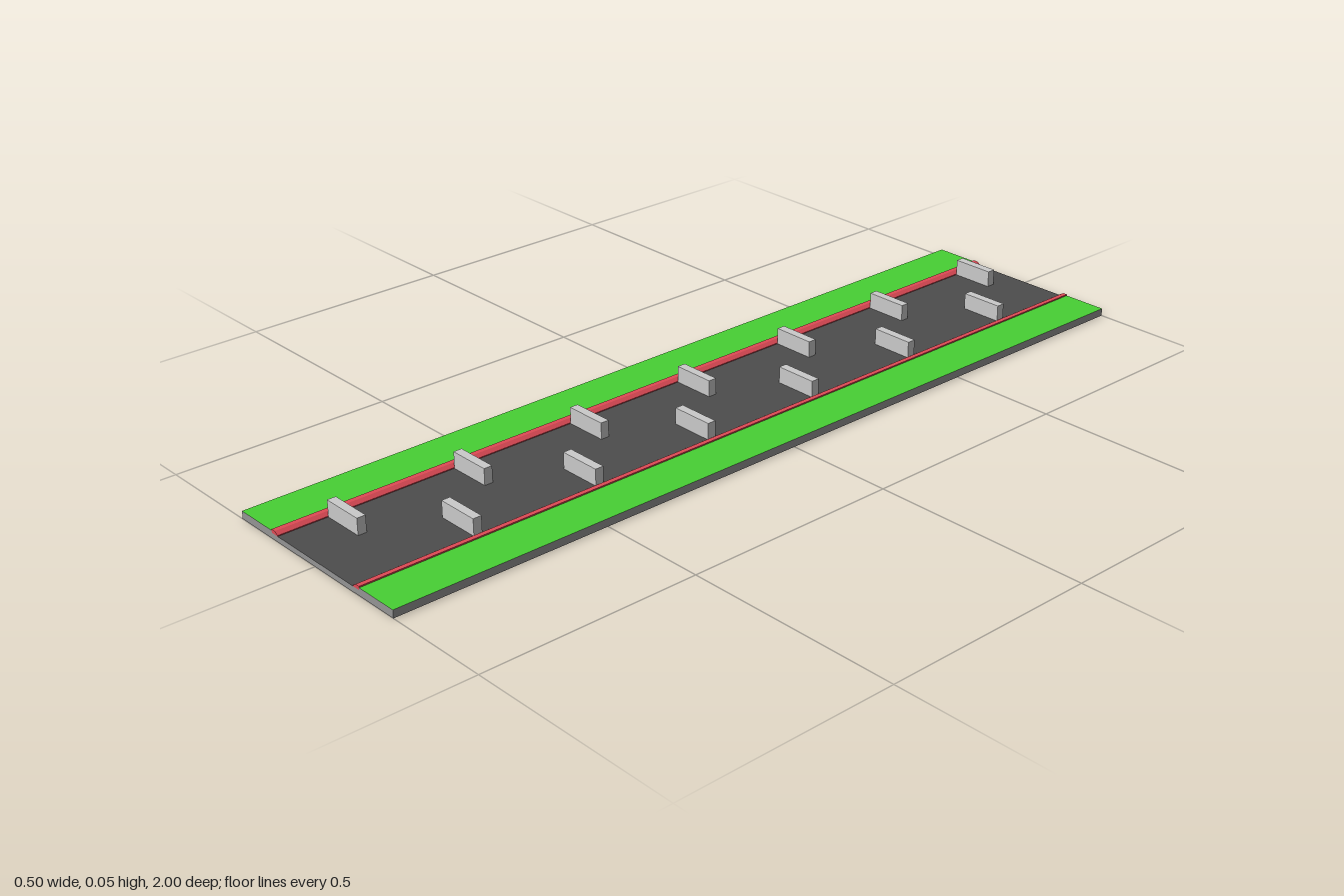
import * as THREE from 'three';

const paint = (color) => new THREE.MeshStandardMaterial({ color });

export function createModel() {
  const group = new THREE.Group();
  const asphalt = paint(0x4d4d4d), edge = paint(0x969696), green = paint(0x48d034);
  const red = paint(0xe04b56), grey = paint(0xcccccc);
  const LENGTH = 2, ROAD_Y = 0.0125, GRASS_Y = 0.0175;

  // Box given by its limits in x and y, and its length and centre in z
  function slab(name, x0, x1, y0, y1, depth, z, material) {
    const mesh = new THREE.Mesh(new THREE.BoxGeometry(x1 - x0, y1 - y0, depth), material);
    mesh.position.set((x0 + x1) / 2, (y0 + y1) / 2, z);
    mesh.name = name;
    group.add(mesh);
  }

  // Road bed: dark top and underside, grey sides
  slab('road', -0.25, 0.25, 0, ROAD_Y, LENGTH, 0, [edge, edge, asphalt, asphalt, edge, edge]);

  for (const s of [-1, 1]) {
    const side = s > 0 ? 'left' : 'right';

    // Grass verge
    const [x0, x1] = s > 0 ? [0.145, 0.25] : [-0.25, -0.145];
    slab(side + 'Grass', x0, x1, ROAD_Y, GRASS_Y, LENGTH, 0, [edge, edge, green, green, edge, edge]);

    // Kerb with a bevelled inner edge
    const profile = new THREE.Shape([
      [0.125, ROAD_Y], [0.145, ROAD_Y], [0.145, 0.0205], [0.134, 0.0205], [0.125, 0.0145],
    ].map(([x, y]) => new THREE.Vector2(s * x, y)));
    const kerb = new THREE.Mesh(
      new THREE.ExtrudeGeometry(profile, { depth: LENGTH, bevelEnabled: false }), red);
    kerb.position.z = -LENGTH / 2;
    kerb.name = side + 'Kerb';
    group.add(kerb);

    // Staggered barriers across the lane
    const count = s > 0 ? 6 : 7, first = s > 0 ? -0.784 : -0.924;
    const [b0, b1] = s > 0 ? [0.025, 0.125] : [-0.125, -0.025];
    for (let i = 0; i < count; i++) {
      slab(side + 'Barrier' + (i + 1), b0, b1, ROAD_Y, 0.05, 0.02, first + i * 0.3, grey);
    }
  }
  return group;
}
